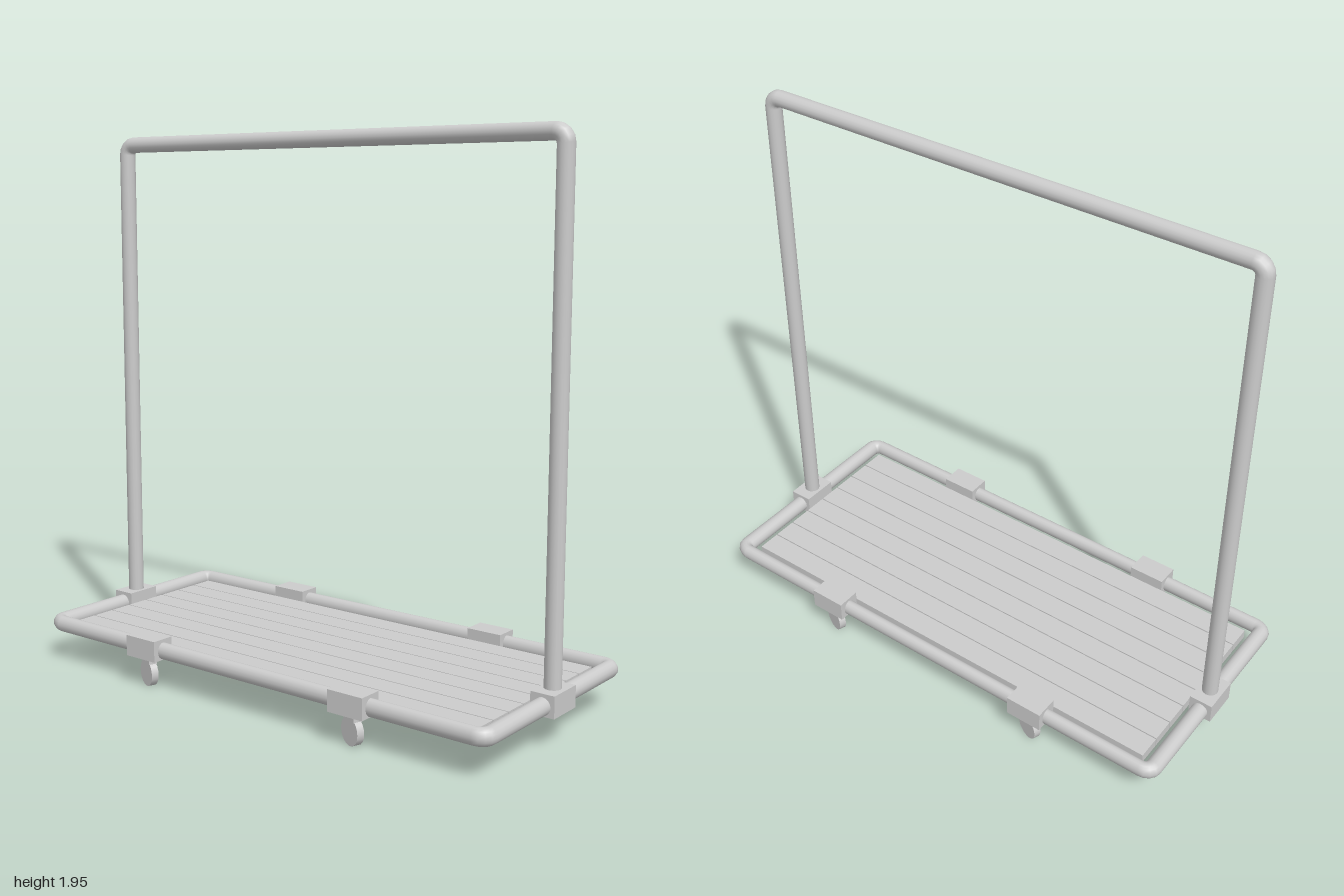
import * as THREE from 'three';

const material = new THREE.MeshStandardMaterial({ color: 0xcccccc });

function add(parent, geometry, name, x = 0, y = 0, z = 0) {
  const mesh = new THREE.Mesh(geometry, material);
  mesh.name = name;
  mesh.position.set(x, y, z);
  parent.add(mesh);
  return mesh;
}

// Rounded corner of a path: arc about (cx, cy), a quarter turn from startAngle
function corner(cx, cy, rx, ry, startAngle, steps = 4) {
  return Array.from({ length: steps + 1 }, (_, i) => {
    const a = startAngle + (i / steps) * Math.PI / 2;
    return new THREE.Vector2(cx + rx * Math.cos(a), cy + ry * Math.sin(a));
  });
}

// Round tube swept along a path in the XY plane, mitred at every bend
function mitredTube(path, radius, closed, sides = 16) {
  const n = path.length;
  const positions = [], index = [];
  const direction = (a, b) => b.clone().sub(a).normalize();
  for (let i = 0; i < n; i++) {
    const p = path[i];
    let before = i > 0 || closed ? direction(path[(i + n - 1) % n], p) : null;
    let after = i < n - 1 || closed ? direction(p, path[(i + 1) % n]) : null;
    before = before || after;
    after = after || before;
    const tangent = before.clone().add(after).normalize();
    const stretch = radius / tangent.dot(before);
    for (let j = 0; j < sides; j++) {
      const a = (j / sides) * Math.PI * 2;
      const c = Math.cos(a) * stretch;
      positions.push(p.x - tangent.y * c, p.y + tangent.x * c, Math.sin(a) * radius);
    }
  }
  for (let i = 0; i < (closed ? n : n - 1); i++) {
    for (let j = 0; j < sides; j++) {
      const k = (j + 1) % sides, next = (i + 1) % n;
      const a = i * sides + j, b = i * sides + k;
      const c = next * sides + j, d = next * sides + k;
      index.push(a, b, c, b, d, c);
    }
  }
  const geometry = new THREE.BufferGeometry();
  geometry.setAttribute('position', new THREE.Float32BufferAttribute(positions, 3));
  geometry.setIndex(index);
  geometry.computeVertexNormals();
  return geometry;
}

export function createModel() {
  const model = new THREE.Group();
  model.name = 'rollingRack';
  const rack = new THREE.Group();
  rack.name = 'rack';
  rack.rotation.y = -THREE.MathUtils.degToRad(5);
  model.add(rack);

  const railX = 0.943, railZ = 0.412, railY = 0.141, bend = 0.036;
  const quarter = Math.PI / 2;

  // Base frame, a closed loop with slightly flattened long rails
  const flatten = 0.82;
  const cx = railX - bend, cz = railZ / flatten - bend;
  const loop = [
    ...corner(cx, cz, bend, bend, 0),
    ...corner(-cx, cz, bend, bend, quarter),
    ...corner(-cx, -cz, bend, bend, 2 * quarter),
    ...corner(cx, -cz, bend, bend, 3 * quarter),
  ];
  const frameGeometry = mitredTube(loop, 0.03, true);
  frameGeometry.rotateX(-quarter);
  frameGeometry.scale(1, 1, flatten);
  add(rack, frameGeometry, 'baseFrame', 0, railY, 0);

  // Upright hoop
  const hoopX = 0.941, top = 1.923;
  const hoop = [
    new THREE.Vector2(hoopX, railY),
    ...corner(hoopX - bend, top - bend, bend, bend, 0),
    ...corner(-hoopX + bend, top - bend, bend, bend, quarter),
    new THREE.Vector2(-hoopX, railY),
  ];
  add(rack, mitredTube(hoop, 0.029, false), 'hangingHoop');

  // Deck slats over a thin core that closes the grooves
  const pitch = 0.0914, deckY = 0.126;
  const slat = new THREE.BoxGeometry(1.777, 0.036, pitch - 0.004);
  for (let i = 0; i < 8; i++) {
    add(rack, slat, 'deckSlat', 0, deckY, (i - 3.5) * pitch);
  }
  add(rack, new THREE.BoxGeometry(1.77, 0.022, 8 * pitch - 0.01), 'deckCore', 0, deckY, 0);

  // Post sockets on the short rails
  const socket = new THREE.BoxGeometry(0.087, 0.075, 0.138);
  for (const side of [-1, 1]) add(rack, socket, 'postSocket', side * railX, 0.145, 0);

  // Casters with mounting blocks on the long rails
  const block = new THREE.BoxGeometry(0.138, 0.075, 0.087);
  const wheel = new THREE.CylinderGeometry(0.048, 0.048, 0.026, 20);
  wheel.rotateX(quarter);
  const fork = new THREE.BoxGeometry(0.06, 0.03, 0.032);
  for (const sx of [-1, 1]) {
    for (const sz of [-1, 1]) {
      const caster = new THREE.Group();
      caster.name = 'caster';
      caster.position.set(sx * 0.455, 0, sz * railZ);
      rack.add(caster);
      add(caster, block, 'mountingBlock', 0, 0.145, 0);
      const swivel = new THREE.Group();
      swivel.name = 'swivelWheel';
      swivel.rotation.y = -THREE.MathUtils.degToRad(20);
      caster.add(swivel);
      add(swivel, wheel, 'wheel', 0, 0.048, 0);
      add(swivel, fork, 'fork', 0, 0.099, 0);
    }
  }
  return model;
}
